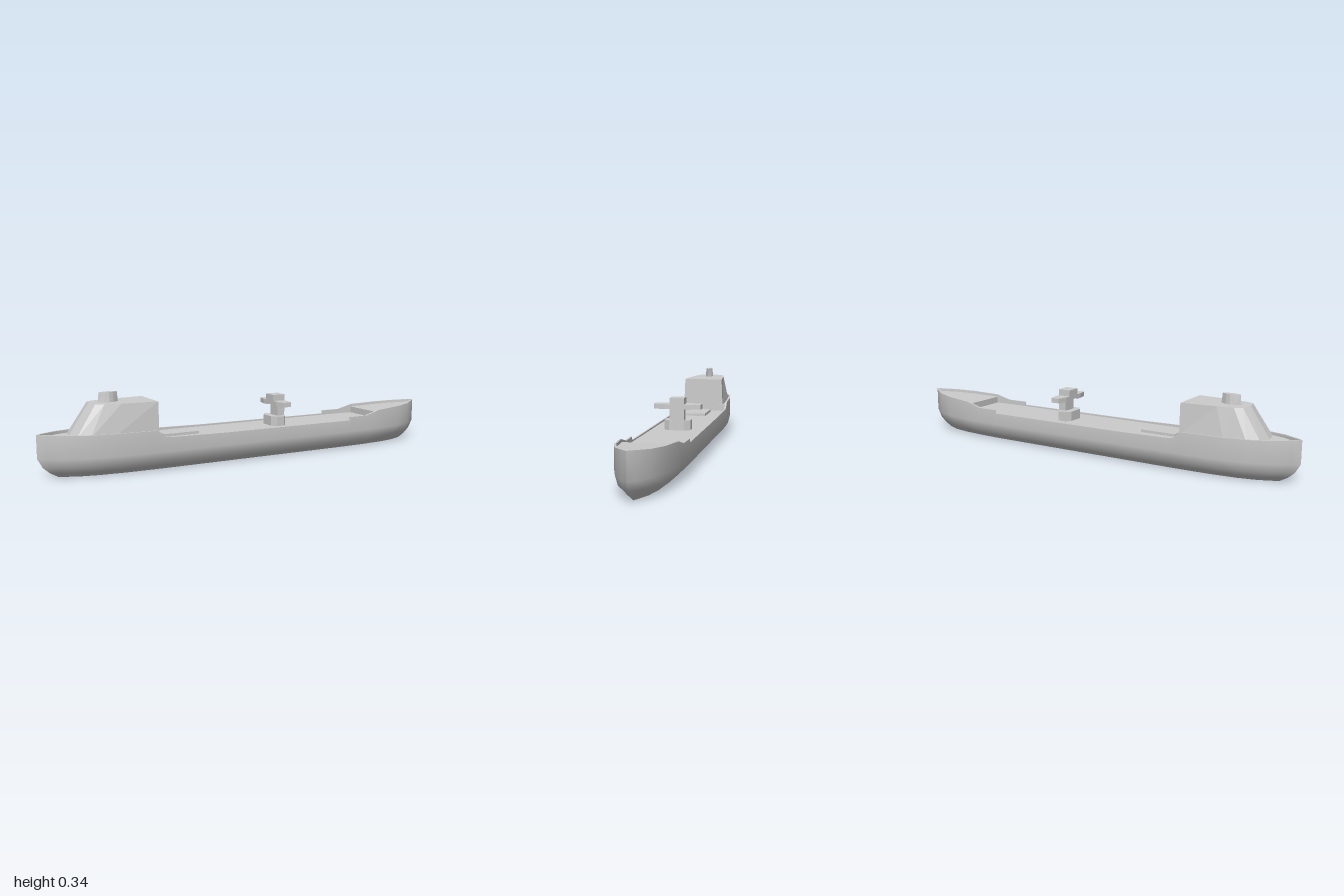
import * as THREE from 'three';
import { toCreasedNormals } from 'three/addons/utils/BufferGeometryUtils.js';

const material = new THREE.MeshStandardMaterial({ color: 0xcccccc, side: THREE.DoubleSide });

function mesh(name, geometry) {
  const m = new THREE.Mesh(geometry, material);
  m.name = name;
  return m;
}

function box(name, x0, x1, y0, y1, halfZ) {
  const g = new THREE.BoxGeometry(x1 - x0, y1 - y0, halfZ * 2);
  g.translate((x0 + x1) / 2, (y0 + y1) / 2, 0);
  return mesh(name, g);
}

function geometryFrom(positions, index) {
  const g = new THREE.BufferGeometry();
  g.setAttribute('position', new THREE.Float32BufferAttribute(positions, 3));
  g.setIndex(index);
  return g;
}

// Closed solid between two matching [x, z] outlines, listed from front round the +z side
function loft(name, lower, y0, upper, y1) {
  const n = lower.length, pos = [], idx = [];
  lower.forEach(([x, z]) => pos.push(x, y0, z));
  upper.forEach(([x, z]) => pos.push(x, y1, z));
  for (let i = 0; i < n; i++) {
    const j = (i + 1) % n;
    idx.push(i, n + i, j, j, n + i, n + j);
    if (i > 0 && i < n - 1) idx.push(0, i, i + 1, n, n + i + 1, n + i);
  }
  const g = geometryFrom(pos, idx).toNonIndexed();
  g.computeVertexNormals();
  return mesh(name, g);
}

// Completes a half outline (z >= 0) by mirroring it across z = 0
function mirrored(half) {
  const other = half.filter(p => p[1] > 0).map(([x, z]) => [x, -z]).reverse();
  return [...half, ...other];
}

function hull() {
  // Stations along the ship: x, half beam, bulwark height, deck height
  const stations = [
    [-1, 0, 0.187, 0.172], [-0.97, 0.025, 0.186, 0.172], [-0.91, 0.066, 0.184, 0.171],
    [-0.82, 0.097, 0.182, 0.17], [-0.7, 0.116, 0.181, 0.168], [-0.6, 0.122, 0.181, 0.167],
    [-0.52, 0.125, 0.181, 0.167], [-0.5, 0.125, 0.165, 0.167], [-0.5, 0.125, 0.165, 0.135],
    [-0.48, 0.125, 0.15, 0.135], [-0.44, 0.125, 0.147, 0.135], [-0.2, 0.125, 0.143, 0.135],
    [0.5, 0.125, 0.141, 0.135], [0.5, 0.125, 0.157, 0.135], [0.6, 0.122, 0.157, 0.135],
    [0.64, 0.12, 0.167, 0.135], [0.68, 0.118, 0.178, 0.135], [0.68, 0.118, 0.178, 0.166],
    [0.82, 0.098, 0.185, 0.172], [0.91, 0.068, 0.19, 0.177], [0.97, 0.026, 0.195, 0.182],
    [1, 0, 0.197, 0.184],
  ];
  const section = ([x, w, rail, deck]) => {
    const inner = Math.max(0, w - 0.007);
    return [
      [x * 0.915, 0, 0], [x * 0.915, 0, w * 0.55], [x * 0.95, 0.02, w * 0.73],
      [x * 0.978, 0.045, w * 0.93], [x, 0.085, w], [x, rail, w],
      [x * 0.992, rail, inner], [x * 0.992, deck, inner], [x * 0.992, deck, 0],
    ];
  };
  const pos = [], idx = [], n = 9;
  for (const side of [1, -1]) {
    const start = pos.length / 3;
    stations.forEach(s => section(s).forEach(([x, y, z]) => pos.push(x, y, z * side)));
    for (let i = 0; i < stations.length - 1; i++) {
      for (let j = 0; j < n - 1; j++) {
        const a = start + i * n + j, b = a + n;
        if (side > 0) idx.push(a, b, b + 1, a, b + 1, a + 1);
        else idx.push(a, b + 1, b, a, a + 1, b + 1);
      }
    }
  }
  return mesh('hull', toCreasedNormals(geometryFrom(pos, idx), 0.6));
}

function crane() {
  const group = new THREE.Group();
  group.name = 'crane';
  // Eight-sided pedestal
  const base = mirrored([[0.177, 0.035], [0.16, 0.06], [0.118, 0.06], [0.1, 0.035]]);
  group.add(loft('cranePedestal', base, 0.133, base, 0.18));
  group.add(box('craneColumn', 0.136, 0.174, 0.18, 0.24, 0.033));
  group.add(box('craneHead', 0.112, 0.174, 0.235, 0.281, 0.033));
  // Tapered arms to either side
  for (const s of [1, -1]) {
    let arm = [[0.174, 0.03], [0.174, 0.06], [0.164, 0.108], [0.124, 0.108], [0.112, 0.06], [0.112, 0.03]];
    if (s < 0) arm = arm.map(([x, z]) => [x, -z]).reverse();
    group.add(loft(s > 0 ? 'leftArm' : 'rightArm', arm, 0.23, arm, 0.252));
  }
  return group;
}

export function createModel() {
  const ship = new THREE.Group();
  ship.name = 'ship';
  ship.add(hull());

  // Deckhouse with sloping rear
  const houseFoot = mirrored([[-0.5, 0.104], [-0.7, 0.098], [-0.8, 0.09], [-0.855, 0.072], [-0.868, 0]]);
  const houseRoof = mirrored([[-0.5, 0.098], [-0.66, 0.084], [-0.73, 0.072], [-0.765, 0.056], [-0.778, 0]]);
  ship.add(loft('deckhouse', houseFoot, 0.165, houseRoof, 0.302));

  // Lens-shaped funnel
  const funnelFoot = mirrored([[-0.645, 0], [-0.67, 0.016], [-0.69, 0.021], [-0.71, 0.016], [-0.735, 0]]);
  const funnelTop = funnelFoot.map(([x, z]) => [-0.69 + (x + 0.69) * 0.9, z * 0.78]);
  ship.add(loft('funnel', funnelFoot, 0.3, funnelTop, 0.345));

  ship.add(box('hatch', -0.455, -0.285, 0.133, 0.147, 0.048));
  ship.add(crane());
  return ship;
}
